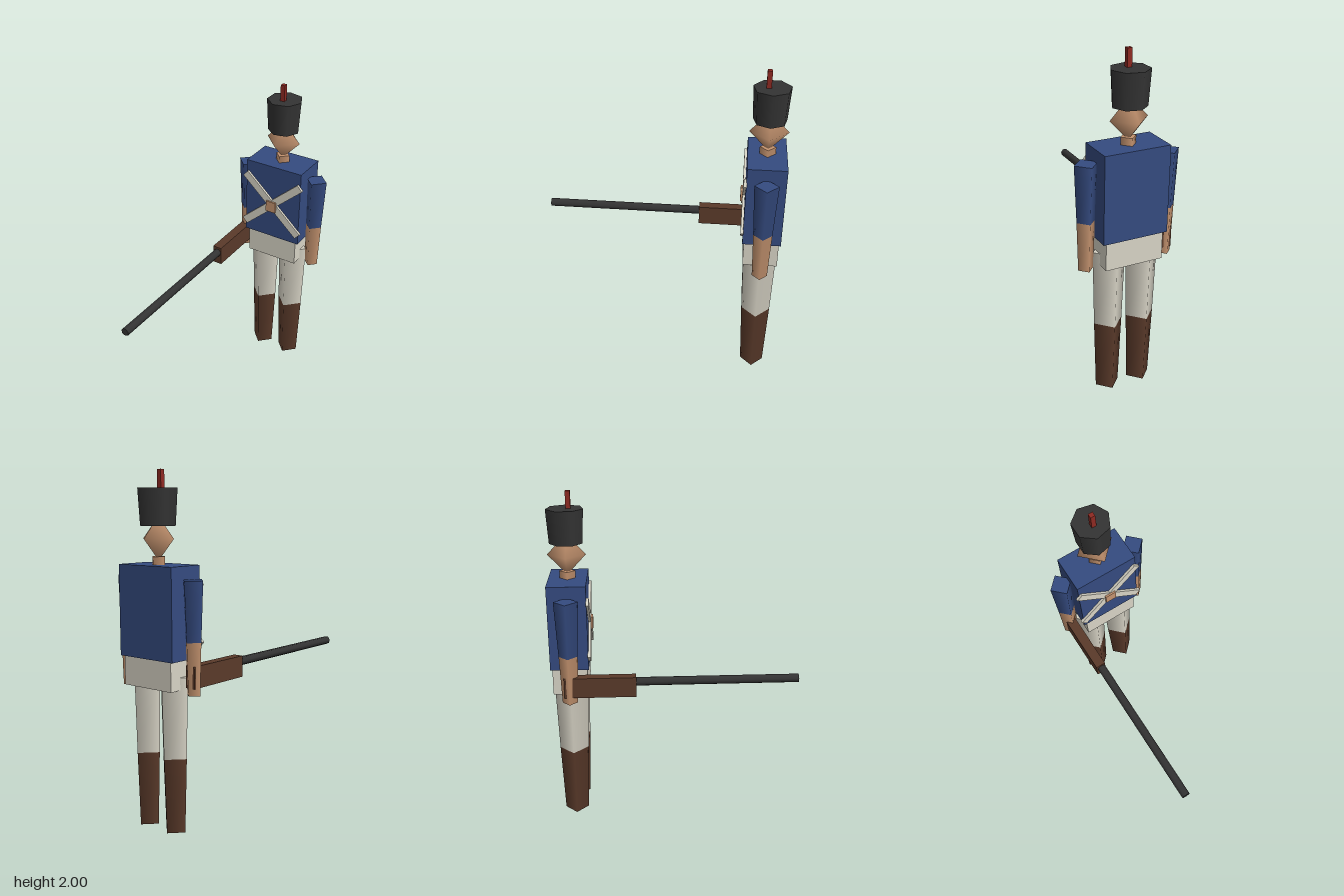
import * as THREE from 'three';

const paint = (name, color) => {
  const m = new THREE.MeshStandardMaterial({ color });
  m.name = name;
  return m;
};

export function createModel() {
  const blue = paint('coatBlue', 0x354b80);
  const cream = paint('cream', 0xd8d4c6);
  const brown = paint('brown', 0x5a3a2a);
  const skin = paint('skin', 0xc4936f);
  const black = paint('black', 0x343434);
  const red = paint('red', 0x8e2a22);

  const model = new THREE.Group();
  model.name = 'toySoldier';
  // The figure stands behind the centre, balancing the long gun
  const BODY_Z = -0.617;

  const add = (name, geometry, material, x, y, z) => {
    const mesh = new THREE.Mesh(geometry, material);
    mesh.name = name;
    mesh.position.set(x, y, z);
    model.add(mesh);
    return mesh;
  };
  const box = (name, material, w, h, d, x, y, z) =>
    add(name, new THREE.BoxGeometry(w, h, d), material, x, y, z);
  // Tapered upright part between two heights, with a corner on +x
  const taper = (name, material, rTop, rBottom, y0, y1, x, sides = 4) =>
    add(name, new THREE.CylinderGeometry(rTop, rBottom, y1 - y0, sides, 1, false, Math.PI / 2),
      material, x, (y0 + y1) / 2, BODY_Z);

  // Coat and hips
  box('torso', blue, 0.388, 0.507, 0.226, 0, 1.238, BODY_Z);
  box('hips', cream, 0.346, 0.17, 0.206, 0, 0.905, BODY_Z);

  // Limbs
  for (const side of [-1, 1]) {
    const label = side < 0 ? 'right' : 'left';
    taper(label + 'Boot', brown, 0.088, 0.072, 0, 0.43, side * 0.102);
    taper(label + 'TrouserLeg', cream, 0.101, 0.088, 0.43, 0.89, side * 0.102);
    taper(label + 'Sleeve', blue, 0.07, 0.055, 1.09, 1.42, side * 0.245);
    taper(label + 'Forearm', skin, 0.055, 0.045, 0.8, 1.09, side * 0.245);
  }

  // Crossed chest straps and buckle
  for (const side of [-1, 1]) {
    const strap = box(side < 0 ? 'rightStrap' : 'leftStrap', cream,
      0.525, 0.05, side < 0 ? 0.017 : 0.018, 0, 1.227, -0.498);
    strap.rotation.z = side * 0.733;
  }
  box('buckle', skin, 0.068, 0.072, 0.02, 0, 1.217, -0.488);

  // Neck, faceted head, hat and plume
  taper('neck', skin, 0.047, 0.047, 1.48, 1.535, 0);
  const head = add('head', new THREE.SphereGeometry(0.113, 4, 2), skin, 0, 1.632, BODY_Z);
  head.scale.y = 1.06;
  taper('hat', black, 0.11, 0.098, 1.7, 1.9, 0, 7);
  box('plume', red, 0.028, 0.13, 0.028, -0.001, 1.935, -0.595);

  // Gun held forward in the right hand
  box('gunStock', brown, 0.06, 0.122, 0.42, -0.245, 0.901, -0.437);
  const barrel = add('gunBarrel', new THREE.CylinderGeometry(0.026, 0.026, 0.995, 7),
    black, -0.243, 0.924, 0.236);
  barrel.rotation.x = Math.PI / 2;

  return model;
}
